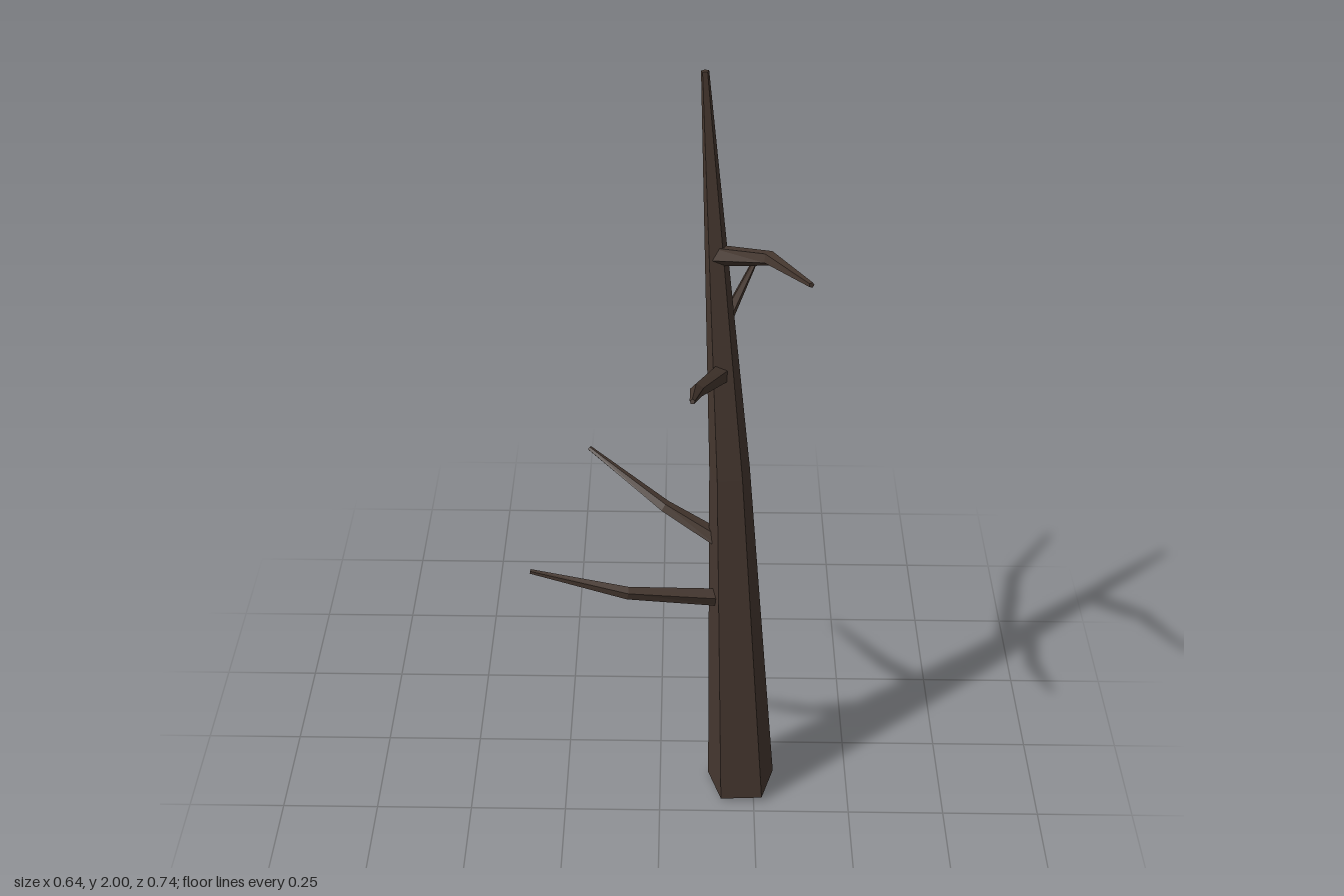
import * as THREE from 'three';

const SIDES = 5;
const UP = new THREE.Vector3(0, 1, 0);

// Closed, faceted limb through stations [x, y, z, radius]
function limbGeometry(stations) {
  const centres = stations.map(([x, y, z]) => new THREE.Vector3(x, y, z));
  const last = centres.length - 1;
  const positions = [], index = [];
  centres.forEach((c, i) => {
    // ring faces along the average of the neighbouring segments
    const dir = new THREE.Vector3();
    if (i > 0) dir.add(c.clone().sub(centres[i - 1]).normalize());
    if (i < last) dir.add(centres[i + 1].clone().sub(c).normalize());
    const turn = new THREE.Quaternion().setFromUnitVectors(UP, dir.normalize());
    for (let s = 0; s < SIDES; s++) {
      const a = (s / SIDES) * Math.PI * 2;
      const r = stations[i][3];
      const p = new THREE.Vector3(-Math.sin(a) * r, 0, -Math.cos(a) * r);
      positions.push(...p.applyQuaternion(turn).add(c).toArray());
    }
  });
  // side walls
  for (let i = 0; i < last; i++) {
    for (let s = 0; s < SIDES; s++) {
      const a = i * SIDES + s, b = i * SIDES + (s + 1) % SIDES;
      index.push(a, b, b + SIDES, a, b + SIDES, a + SIDES);
    }
  }
  // end caps
  const top = last * SIDES;
  for (let s = 1; s < SIDES - 1; s++) {
    index.push(0, s + 1, s, top, top + s, top + s + 1);
  }
  const indexed = new THREE.BufferGeometry();
  indexed.setAttribute('position', new THREE.Float32BufferAttribute(positions, 3));
  indexed.setIndex(index);
  const geometry = indexed.toNonIndexed();
  geometry.computeVertexNormals();
  return geometry;
}

export function createModel() {
  const bark = new THREE.MeshStandardMaterial({ color: 0x45372f });
  bark.name = 'darkBark';
  const tree = new THREE.Group();
  tree.name = 'bareTree';

  const add = (name, stations) => {
    const mesh = new THREE.Mesh(limbGeometry(stations), bark);
    mesh.name = name;
    tree.add(mesh);
  };

  // Leaning, tapered trunk
  add('trunk', [
    [0.217, 0.01, 0.141, 0.092],
    [0.165, 1.01, 0.078, 0.051],
    [0.092, 2.0, -0.015, 0.009],
  ]);

  // Bent branches: root inside the trunk, elbow, tip
  const branches = {
    upperLeftBranch: [[0.123, 1.575, 0.022], [0.236, 1.635, 0.133], [0.314, 1.683, 0.317]],
    upperFrontBranch: [[0.143, 1.28, 0.053], [0.083, 1.35, 0.225], [0.072, 1.42, 0.365]],
    backBranch: [[0.15, 1.165, 0.06], [0.154, 1.255, -0.205], [0.234, 1.343, -0.365]],
    middleRightBranch: [[0.176, 0.785, 0.092], [0.01, 0.86, 0.028], [-0.18, 0.937, -0.106]],
    lowerRightBranch: [[0.185, 0.63, 0.102], [-0.08, 0.69, 0.157], [-0.32, 0.735, 0.132]],
  };
  const radii = [0.025, 0.0165, 0.006];
  for (const [name, points] of Object.entries(branches)) {
    add(name, points.map((p, i) => [...p, radii[i]]));
  }
  return tree;
}
